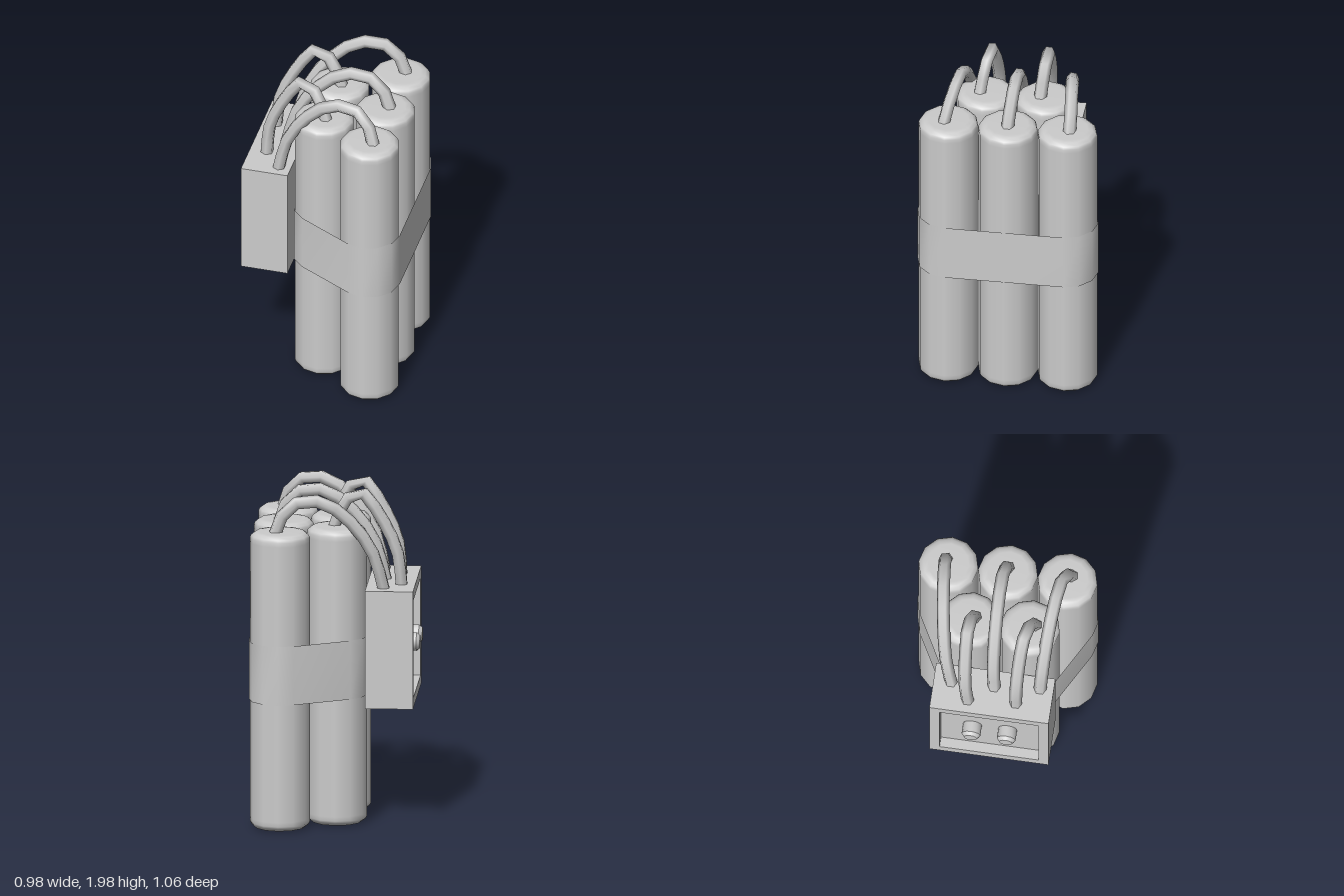
import * as THREE from 'three';
import { toCreasedNormals } from 'three/addons/utils/BufferGeometryUtils.js';

const material = new THREE.MeshStandardMaterial({ color: 0xcccccc });
const thin = new THREE.MeshStandardMaterial({ color: 0xcccccc, side: THREE.DoubleSide });

function add(parent, name, geometry, mat = material) {
  const mesh = new THREE.Mesh(geometry, mat);
  mesh.name = name;
  parent.add(mesh);
  return mesh;
}

const lathe = (points, sides) =>
  new THREE.LatheGeometry(points.map(([r, y]) => new THREE.Vector2(r, y)), sides);

// Rectangle centred on the control box, as corner points
const rect = (halfW, halfH) => [
  [-halfW, -halfH], [halfW, -halfH], [halfW, halfH], [-halfW, halfH],
].map(([x, y]) => new THREE.Vector2(x, y));

// Strap: the twelve-sided outlines of the outer tubes joined into one loop
function strapGeometry(radius, y0, y1) {
  const corners = [[0.31, 0.35, 0, 120], [-0.01, 0.175, 120, 180],
    [-0.01, -0.175, 180, 240], [0.31, -0.35, 240, 360]];
  const loop = [];
  for (const [cx, cz, from, to] of corners) {
    for (let a = from; a <= to; a += 30) {
      const t = THREE.MathUtils.degToRad(a);
      loop.push([cx + radius * Math.cos(t), cz + radius * Math.sin(t)]);
    }
  }
  const positions = [], index = [], n = loop.length;
  for (const [x, z] of loop) positions.push(x, y0, z, x, y1, z);
  for (let i = 0; i < n; i++) {
    const a = 2 * i, b = 2 * ((i + 1) % n);
    index.push(a, a + 1, b, b, a + 1, b + 1);
  }
  const g = new THREE.BufferGeometry();
  g.setAttribute('position', new THREE.Float32BufferAttribute(positions, 3));
  g.setIndex(index);
  g.computeVertexNormals();
  return g;
}

export function createModel() {
  const model = new THREE.Group();
  model.name = 'bundle';

  // Five upright tubes: a row of three and a row of two
  const R = 0.175, H = 1.76;
  const tube = lathe([[0, 0], [0.12, 0], [0.148, 0.004], [0.168, 0.02], [R, 0.035], [R, 0.06],
    [R, H - 0.06], [R, H - 0.035], [0.168, H - 0.02], [0.148, H - 0.004], [0.12, H], [0, H]], 12);
  for (const [x, z] of [[0.31, -0.35], [0.31, 0], [0.31, 0.35], [-0.01, -0.175], [-0.01, 0.175]]) {
    add(model, 'tube', tube).position.set(x, 0, z);
  }

  add(model, 'strap', strapGeometry(0.181, 0.76, 1.11), thin);

  // Control box with a recessed panel and two knobs on its -x side
  const box = new THREE.Group();
  box.name = 'controlBox';
  box.position.set(-0.185, 1.06, 0);
  model.add(box);
  add(box, 'boxBody', new THREE.BoxGeometry(0.22, 0.7, 0.7)).position.x = -0.11;
  const frame = new THREE.Shape(rect(0.35, 0.35));
  frame.holes.push(new THREE.Path(rect(0.29, 0.29)));
  const rim = add(box, 'panelFrame', new THREE.ExtrudeGeometry(frame, { depth: 0.06, bevelEnabled: false }));
  rim.rotation.y = -Math.PI / 2;
  rim.position.x = -0.22;
  const knobGeometry = toCreasedNormals(
    lathe([[0.055, 0], [0.055, 0.065], [0.038, 0.085], [0, 0.085]], 12), 0.6);
  for (const z of [-0.105, 0.102]) {
    const knob = add(box, 'knob', knobGeometry);
    knob.rotation.z = Math.PI / 2;
    knob.position.set(-0.22, 0, z);
  }

  // Wires arching from the box to the tube tops; each z list is start, middle, end
  const longArc = [[-0.285, 1.39], [-0.225, 1.62], [-0.09, 1.82], [0.07, 1.935],
    [0.22, 1.93], [0.295, 1.86], [0.34, 1.74]];
  const shortArc = [[-0.385, 1.39], [-0.36, 1.61], [-0.25, 1.84], [-0.155, 1.957],
    [-0.06, 1.91], [0.01, 1.74]];
  const wires = [
    [longArc, [-0.245, -0.345, -0.365], -0.005],
    [longArc, [0.005, -0.02, 0], 0],
    [longArc, [0.27, 0.305, 0.375], 0.025],
    [shortArc, [-0.135, -0.17, -0.145], 0],
    [shortArc, [0.143, 0.155, 0.21], 0.02],
  ];
  for (const [arc, [z0, z1, z2], shift] of wires) {
    const points = arc.map(([x, y], i) => {
      const t = i / (arc.length - 1);
      const bend = 2 * z1 - (z0 + z2) / 2;
      const z = (1 - t) ** 2 * z0 + 2 * t * (1 - t) * bend + t * t * z2;
      return new THREE.Vector3(x + shift * (1 - t), y, z);
    });
    const curve = new THREE.CatmullRomCurve3(points);
    add(model, 'wire', new THREE.TubeGeometry(curve, 9, 0.038, 6), thin);
  }

  return model;
}
